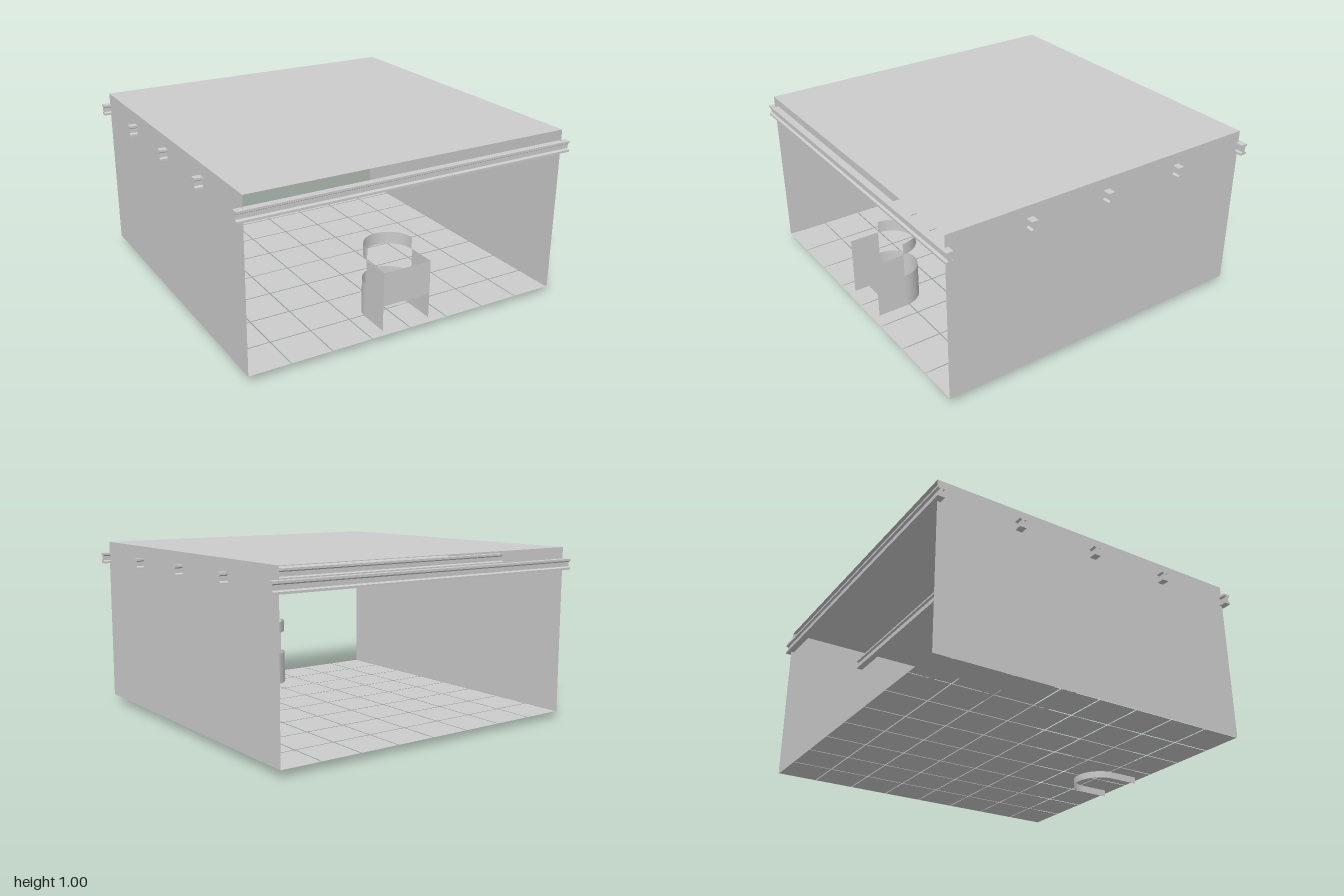
import * as THREE from 'three';

const material = new THREE.MeshStandardMaterial({ color: 0xcccccc, side: THREE.DoubleSide });
const HALF = 0.956, FLOOR = 0.04, TOP = 0.995;

export function createModel() {
  const model = new THREE.Group();
  const add = (name, geometry, parent = model) => {
    const mesh = new THREE.Mesh(geometry, material);
    mesh.name = name;
    parent.add(mesh);
    return mesh;
  };

  // Thin side walls and ceiling; front and back stay open
  const height = TOP - FLOOR;
  for (const s of [1, -1]) {
    const wall = add(s > 0 ? 'leftWall' : 'rightWall', new THREE.PlaneGeometry(2 * HALF, height));
    wall.rotation.y = s * Math.PI / 2;
    wall.position.set(s * HALF, FLOOR + height / 2, 0);
  }
  const ceiling = add('ceiling', new THREE.PlaneGeometry(2 * HALF, 2 * HALF));
  ceiling.rotation.x = -Math.PI / 2;
  ceiling.position.y = TOP;

  // Floor of 8 x 8 separate tiles
  const floor = new THREE.Group();
  floor.name = 'floorTiles';
  model.add(floor);
  const pitch = 2 * HALF / 8;
  const tile = new THREE.PlaneGeometry(pitch - 0.007, pitch - 0.007).rotateX(-Math.PI / 2);
  for (let i = 0; i < 8; i++) {
    for (let j = 0; j < 8; j++) {
      add('tile', tile, floor).position.set((i - 3.5) * pitch, FLOOR, (j - 3.5) * pitch);
    }
  }

  // I-beams with tapered flanges, running through both side walls
  const quarter = [[0.008, 0.012], [0.012, 0.016], [0.02, 0.019], [0.02, 0.031]];
  const back = [...quarter].reverse();
  const profile = new THREE.Shape([
    ...quarter,
    ...back.map(([x, y]) => [-x, y]),
    ...quarter.map(([x, y]) => [-x, -y]),
    ...back.map(([x, y]) => [x, -y]),
  ].map(([x, y]) => new THREE.Vector2(x, y)));
  const beam = new THREE.ExtrudeGeometry(profile, { depth: 2, bevelEnabled: false })
    .translate(0, 0, -1).rotateY(Math.PI / 2);
  for (let i = -2; i <= 2; i++) {
    add('ceilingBeam', beam).position.set(0, 0.897, i * 0.4785);
  }

  // U-shaped booth: curved back, straight sides, front panel and raised rim
  const booth = new THREE.Group();
  booth.name = 'booth';
  booth.position.z = 0.737;
  model.add(booth);
  const depth = 0.173;
  const arc = (name, r, y0, y1) => {
    const g = new THREE.CylinderGeometry(r, r, y1 - y0, 32, 1, true, Math.PI / 2, Math.PI);
    add(name, g, booth).position.y = (y0 + y1) / 2;
  };
  arc('curvedBack', 0.147, 0, 0.24);
  arc('upperRim', 0.143, 0.38, 0.45);
  for (const s of [1, -1]) {
    const side = add('boothSide', new THREE.PlaneGeometry(depth, 0.38), booth);
    side.rotation.y = s * Math.PI / 2;
    side.position.set(s * 0.147, 0.19, depth / 2);
  }
  add('frontPanel', new THREE.PlaneGeometry(0.294, 0.195), booth).position.set(0, 0.2825, depth);

  return model;
}
